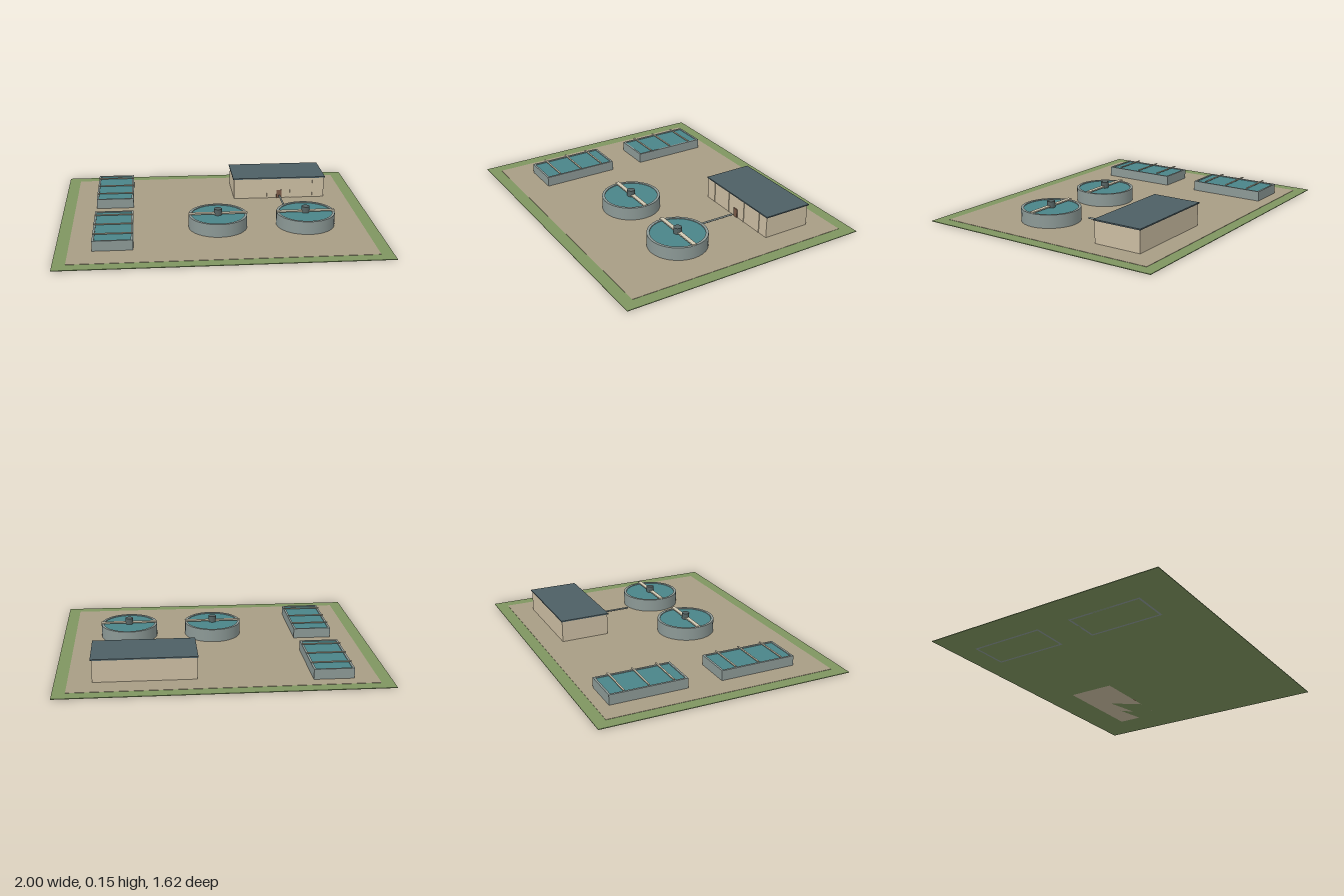
import * as THREE from 'three';

const mat = (color) => new THREE.MeshStandardMaterial({ color });
const M = {
  grass: mat(0x7f9660), sand: mat(0xa89d85), concrete: mat(0x8c9996), water: mat(0x4a8589),
  roof: mat(0x4d5f65), wall: mat(0xcbbda2), beam: mat(0xd0c8b2), hub: mat(0x566464), door: mat(0x7a5a48),
};

function add(parent, name, geometry, material, x, y, z) {
  const mesh = new THREE.Mesh(geometry, material);
  mesh.name = name;
  mesh.position.set(x, y, z);
  parent.add(mesh);
  return mesh;
}

// Box given by its centre in x and z and its bottom and top heights
function box(parent, name, material, x, z, w, d, y0, y1) {
  return add(parent, name, new THREE.BoxGeometry(w, y1 - y0, d), material, x, (y0 + y1) / 2, z);
}

// Upright walls extruded from an outline with a hole
function ringWall(parent, name, outer, inner, height) {
  outer.holes.push(inner);
  const g = new THREE.ExtrudeGeometry(outer, { depth: height, bevelEnabled: false });
  g.rotateX(-Math.PI / 2);
  return add(parent, name, g, M.concrete, 0, 0, 0);
}

const rect = (w, d) => new THREE.Shape([
  new THREE.Vector2(-w / 2, -d / 2), new THREE.Vector2(w / 2, -d / 2),
  new THREE.Vector2(w / 2, d / 2), new THREE.Vector2(-w / 2, d / 2),
]);

// Rectangular basin with three walkways across
function basin(z) {
  const g = new THREE.Group();
  g.name = 'basin';
  g.position.set(-0.657, 0, z);
  ringWall(g, 'basinWall', rect(0.245, 0.495), rect(0.219, 0.469), 0.07);
  box(g, 'basinWater', M.water, 0, 0, 0.221, 0.471, 0.004, 0.065);
  for (const dz of [-0.156, 0, 0.156]) box(g, 'basinWalkway', M.beam, 0, dz, 0.245, 0.01, 0.077, 0.083);
  return g;
}

// Round tank with a bridge and a central drive
function roundTank(x) {
  const g = new THREE.Group();
  g.name = 'roundTank';
  g.position.set(x, 0, 0.216);
  const profile = [[0.186, 0], [0.186, 0.09], [0.186, 0.09], [0.169, 0.09], [0.169, 0.09], [0.169, 0.004]];
  add(g, 'tankWall', new THREE.LatheGeometry(profile.map(([r, y]) => new THREE.Vector2(r, y)), 32), M.concrete, 0, 0, 0);
  add(g, 'tankWater', new THREE.CylinderGeometry(0.17, 0.17, 0.08, 32), M.water, 0, 0.045, 0);
  box(g, 'tankBridge', M.beam, 0, 0, 0.372, 0.026, 0.092, 0.1);
  add(g, 'tankDrive', new THREE.CylinderGeometry(0.025, 0.025, 0.04, 20), M.hub, 0, 0.106, 0);
  return g;
}

// Flat-roofed building with pilasters and a door on the front
function building() {
  const g = new THREE.Group();
  g.name = 'building';
  g.position.set(0.465, 0, -0.438);
  box(g, 'buildingWalls', M.wall, 0, 0, 0.622, 0.312, 0, 0.144);
  box(g, 'buildingRoof', M.roof, 0, 0, 0.636, 0.322, 0.144, 0.152);
  for (const x of [-0.235, -0.08, 0.08, 0.235]) {
    box(g, 'pilaster', M.wall, x, 0.157, 0.008, 0.006, 0, 0.144);
  }
  box(g, 'door', M.door, 0, 0.158, 0.035, 0.008, 0, 0.062);
  return g;
}

export function createModel() {
  const model = new THREE.Group();
  model.name = 'waterTreatmentPlant';
  box(model, 'grass', M.grass, 0, 0, 2, 1.62, 0, 0.004);
  box(model, 'yard', M.sand, 0, 0, 1.845, 1.47, 0.003, 0.006);
  model.add(basin(0.307), basin(-0.41), roundTank(0), roundTank(0.56), building());

  // Pipe running from the building towards the tanks
  const pipe = add(model, 'pipe', new THREE.CylinderGeometry(0.006, 0.006, 0.25, 12), M.concrete, 0.465, 0.03, -0.127);
  pipe.rotation.x = Math.PI / 2;
  return model;
}
